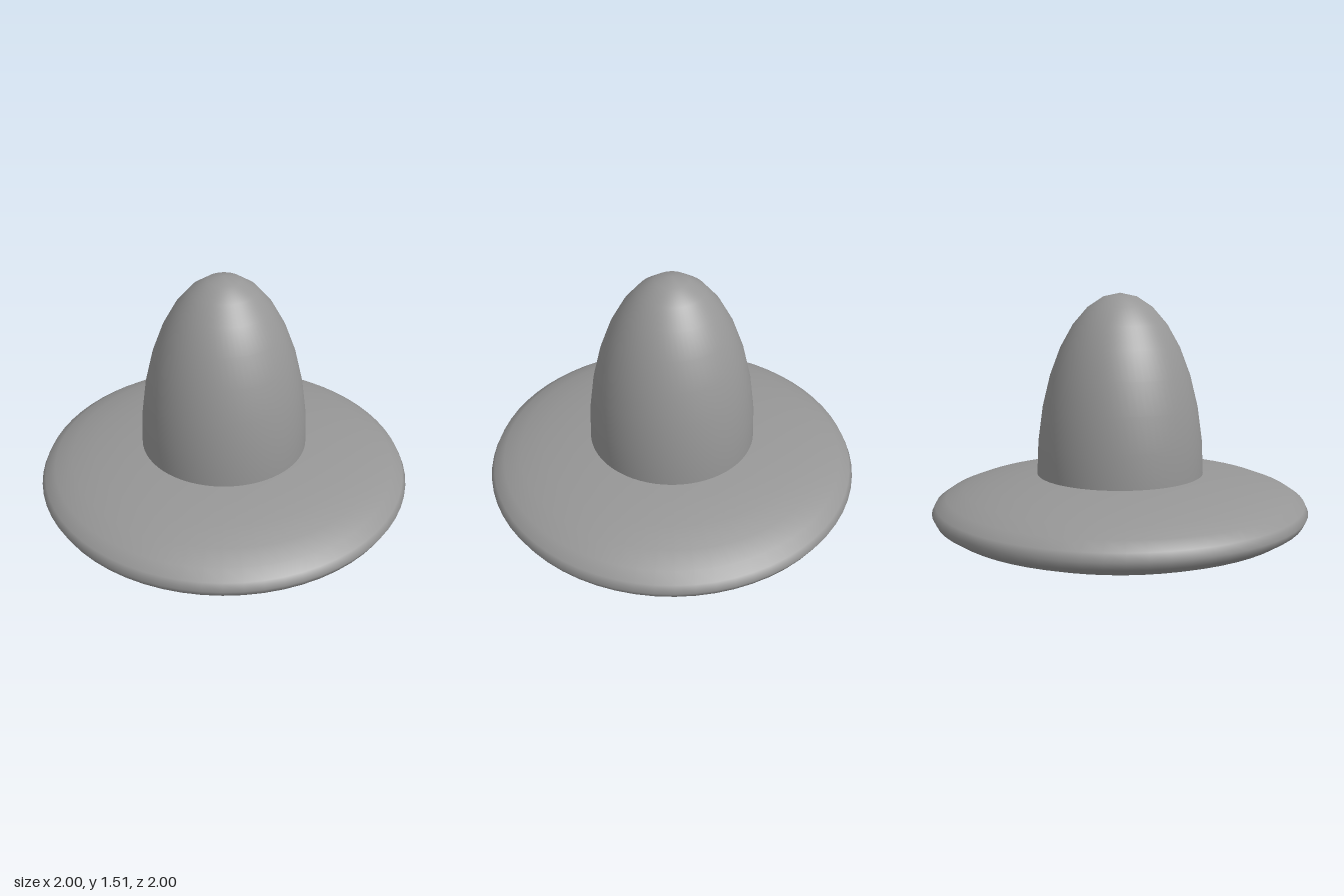
import * as THREE from 'three';

const material = new THREE.MeshStandardMaterial({ color: 0x969696 });

// Sphere (or its upper part, down to angle theta) stretched to radius r and half-height h, centred at height y
function ellipsoid(name, r, h, y, rings = 16, theta = Math.PI) {
  const geometry = new THREE.SphereGeometry(1, 64, rings, 0, Math.PI * 2, 0, theta);
  geometry.scale(r, h, r);
  const mesh = new THREE.Mesh(geometry, material);
  mesh.name = name;
  mesh.position.y = y;
  return mesh;
}

export function createModel() {
  const group = new THREE.Group();
  group.name = 'hat';
  group.add(
    ellipsoid('brim', 1, 0.203, 0.378),
    // Half dome whose open base is sunk into the brim
    ellipsoid('crown', 0.445, 0.96, 0.55, 8, Math.PI / 2),
    ellipsoid('lowerKnob', 0.285, 0.195, 0.195)
  );
  return group;
}
